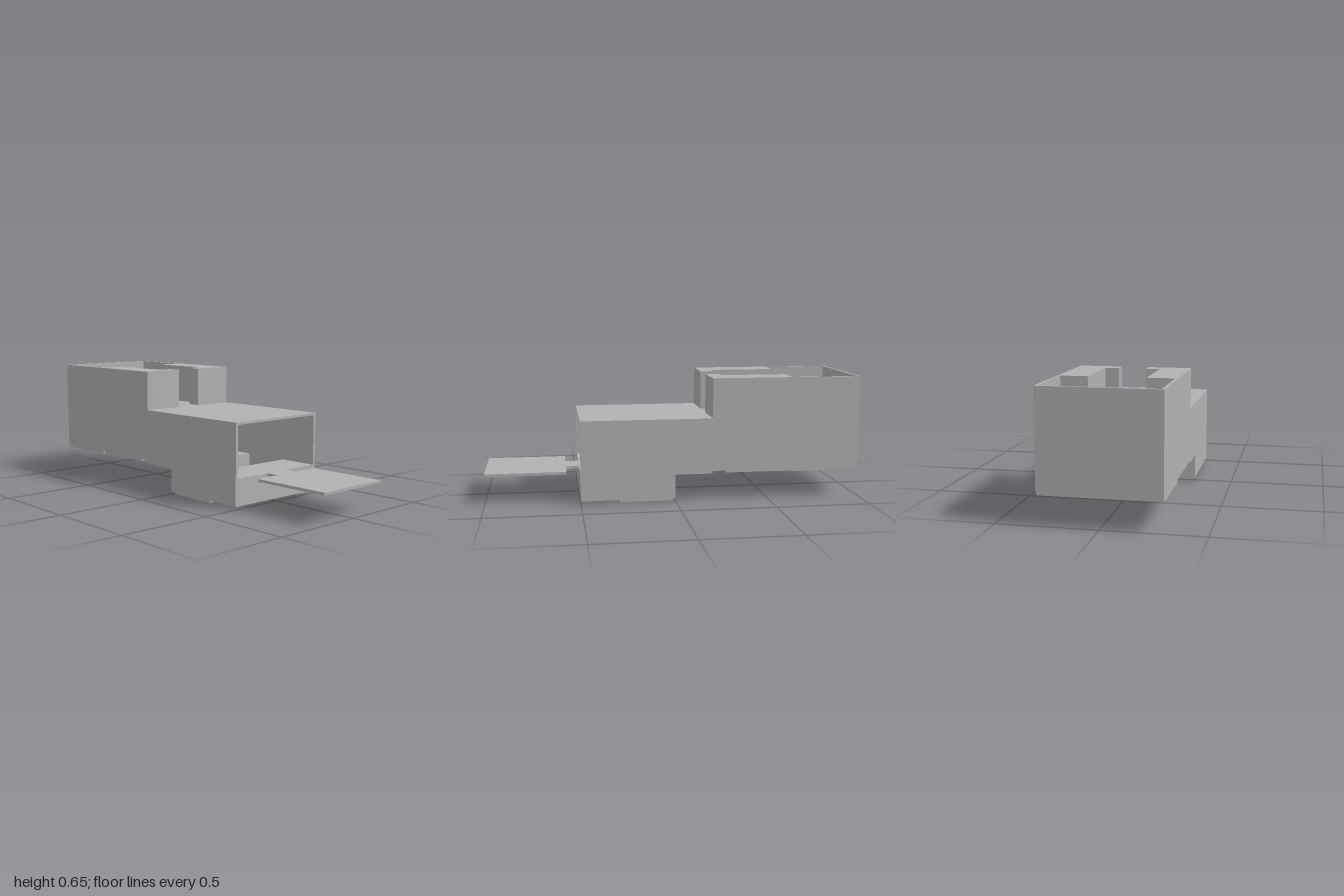
import * as THREE from 'three';

const W = 0.298;   // outer half width
const T = 0.014;   // sheet thickness
const IN = W - T;  // inner half width

export function createModel() {
  const group = new THREE.Group();
  const grey = new THREE.MeshStandardMaterial({ color: 0xb2b2b2 });
  grey.name = 'plain grey';

  const add = (name, geometry) => {
    const mesh = new THREE.Mesh(geometry, grey);
    mesh.name = name;
    group.add(mesh);
    return mesh;
  };

  // Box given by its limits on each axis
  const box = (name, x0, x1, y0, y1, z0, z1) => {
    const g = new THREE.BoxGeometry(x1 - x0, y1 - y0, z1 - z0);
    g.translate((x0 + x1) / 2, (y0 + y1) / 2, (z0 + z1) / 2);
    return add(name, g);
  };

  // Flat sheet, symmetric in x, outlined by [half width, z] from front to back
  const sheet = (name, half, y0, y1) => {
    const right = half.map(([x, z]) => new THREE.Vector2(x, -z));
    const left = half.map(([x, z]) => new THREE.Vector2(-x, -z)).reverse();
    const g = new THREE.ExtrudeGeometry(new THREE.Shape([...right, ...left]),
      { depth: y1 - y0, bevelEnabled: false });
    g.rotateX(-Math.PI / 2);
    g.translate(0, y0, 0);
    return add(name, g);
  };

  // Stepped side walls, outlined in [z, y]
  const profile = [[0.5, 0.015], [0.5, 0.44], [-0.2, 0.44], [-0.2, 0.652],
    [-1, 0.652], [-1, 0.157], [0, 0.157], [0, 0.015]];
  for (const side of [-1, 1]) {
    const shape = new THREE.Shape(profile.map(([z, y]) => new THREE.Vector2(-z, y)));
    const g = new THREE.ExtrudeGeometry(shape, { depth: T, bevelEnabled: false });
    g.rotateY(Math.PI / 2);
    g.translate(side > 0 ? IN : -W, 0, 0);
    add(side > 0 ? 'leftWall' : 'rightWall', g);
  }

  // End walls of the tall rear and of the low front bin
  box('rearWall', -IN, IN, 0.157, 0.652, -1, -1 + T);
  box('binFrontWall', -IN, IN, 0.015, 0.143, 0.5 - T, 0.5);
  box('binBackWall', -IN, IN, 0.015, 0.157, 0, T);

  // Guide blocks either side of the keyed slot
  for (const side of [-1, 1]) {
    const shape = new THREE.Shape([[0.072, 0.2], [IN, 0.2], [IN, 0.63], [0.145, 0.63],
      [0.145, 0.275], [0.072, 0.275]].map(([x, y]) => new THREE.Vector2(side * x, y)));
    const g = new THREE.ExtrudeGeometry(shape, { depth: 0.652 - 0.157, bevelEnabled: false });
    g.rotateX(-Math.PI / 2);
    g.translate(0, 0.157, 0);
    add(side > 0 ? 'leftGuideBlock' : 'rightGuideBlock', g);
  }

  // Roof, running back between the guide blocks, and the rear shelf
  sheet('roof', [[IN, 0.5], [IN, -0.2], [0.072, -0.2], [0.072, -0.275],
    [0.145, -0.275], [0.145, -0.63]], 0.427, 0.44);
  box('rearShelf', -IN, IN, 0.427, 0.44, -1 + T, -0.78);

  // Front tray with its necked tongue
  sheet('frontTray', [[0.213, 1], [0.213, 0.57], [0.072, 0.57], [0.072, 0.5],
    [IN, 0.5], [IN, 0.28]], 0.143, 0.157);

  // Main floor, notched under the guide blocks
  sheet('mainFloor', [[W, 0], [W, -0.2], [0.072, -0.2], [0.072, -0.275],
    [IN, -0.275], [IN, -0.63], [W, -0.63], [W, -1 + T]], 0.143, 0.157);

  // Bin floor and the plate closing its underside
  box('binFloor', -IN, IN, 0.015, 0.029, 0.28, 0.5 - T);
  box('binBottomPlate', -IN, IN, 0, 0.0155, 0.012, 0.295);

  return group;
}
